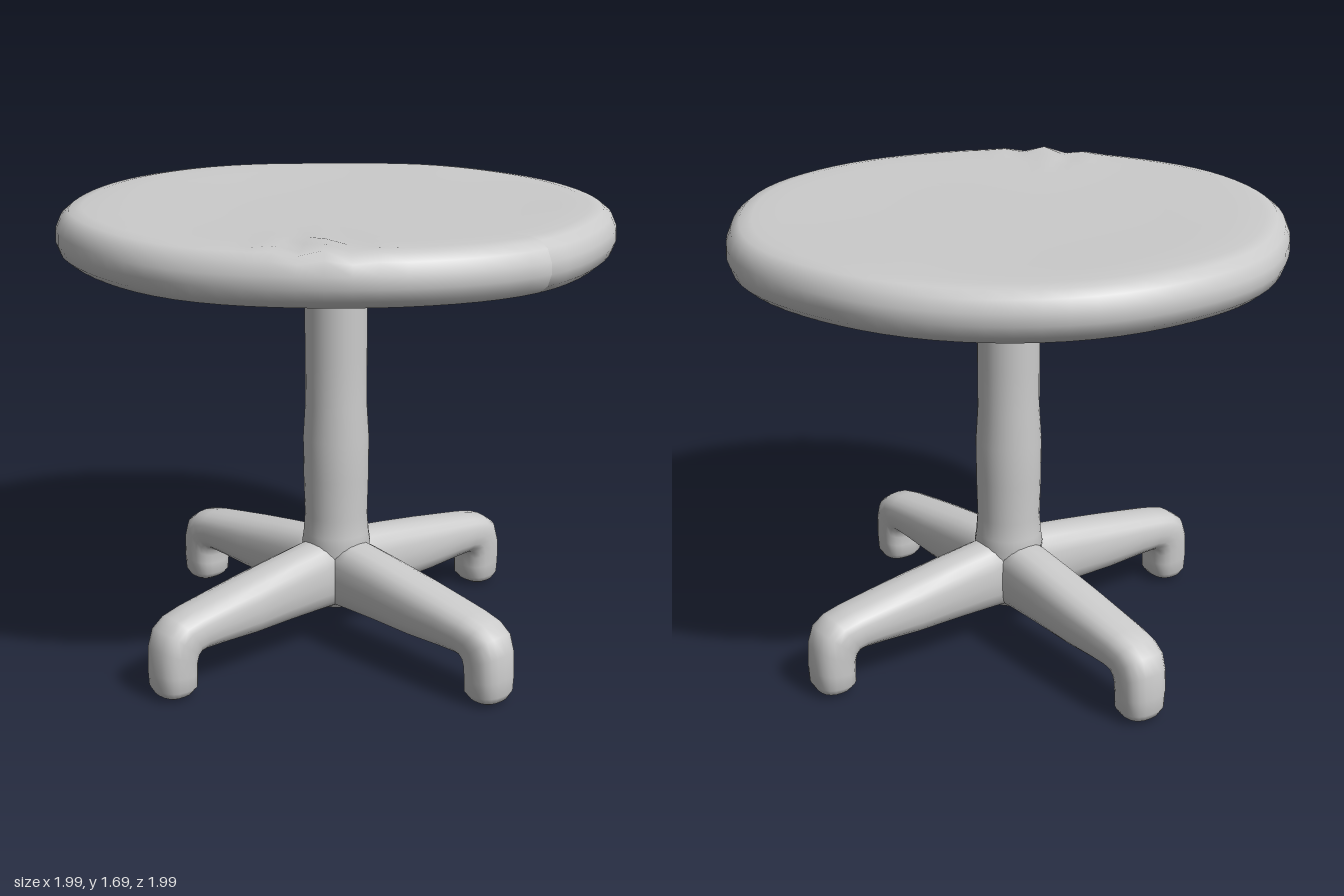
import * as THREE from 'three';

const material = new THREE.MeshStandardMaterial({ color: 0xcccccc, side: THREE.DoubleSide });

function part(name, geometry) {
  const mesh = new THREE.Mesh(geometry, material);
  mesh.name = name;
  return mesh;
}

// Skin rounded cross-sections: [topX, topY, bottomX, bottomY, halfWidth]
function loft(sections, sides = 20, power = 0.8) {
  const pos = [], index = [];
  const soft = v => Math.sign(v) * Math.abs(v) ** power;
  for (const [tx, ty, bx, by, w] of sections) {
    for (let j = 0; j < sides; j++) {
      const a = (j / sides) * Math.PI * 2;
      const c = soft(Math.cos(a)) / 2, s = soft(Math.sin(a));
      pos.push((tx + bx) / 2 + (tx - bx) * c, (ty + by) / 2 + (ty - by) * c, w * s);
    }
  }
  const last = sections.length - 1;
  for (let i = 0; i < last; i++) {
    for (let j = 0; j < sides; j++) {
      const k = (j + 1) % sides;
      const a = i * sides + j, b = i * sides + k;
      index.push(a, b, a + sides, b, b + sides, a + sides);
    }
  }
  // End caps
  for (const i of [0, last]) {
    const [tx, ty, bx, by] = sections[i];
    const centre = pos.length / 3;
    pos.push((tx + bx) / 2, (ty + by) / 2, 0);
    for (let j = 0; j < sides; j++) {
      const a = i * sides + j, b = i * sides + (j + 1) % sides;
      index.push(centre, ...(i ? [a, b] : [b, a]));
    }
  }
  const geometry = new THREE.BufferGeometry();
  geometry.setAttribute('position', new THREE.Float32BufferAttribute(pos, 3));
  geometry.setIndex(index);
  geometry.computeVertexNormals();
  return geometry;
}

function lathe(points, segments) {
  return new THREE.LatheGeometry(points.map(p => new THREE.Vector2(...p)), segments);
}

// Thick round top with a soft rim, hand-worn outline and gentle surface waves
function tabletop() {
  const geometry = lathe([
    [0, 1.475], [0.25, 1.477], [0.5, 1.482], [0.75, 1.487], [0.9, 1.49], [0.95, 1.5], [0.98, 1.525],
    [0.995, 1.565], [0.993, 1.605], [0.975, 1.645], [0.945, 1.668], [0.9, 1.675],
    [0.8, 1.675], [0.7, 1.673], [0.55, 1.67], [0.4, 1.668], [0.2, 1.668], [0, 1.668],
  ], 72);
  const p = geometry.attributes.position;
  for (let i = 0; i < p.count; i++) {
    const x = p.getX(i), y = p.getY(i), z = p.getZ(i);
    const angle = Math.atan2(z, x), r = Math.hypot(x, z);
    const k = 1 - 0.006 * r * (1 - Math.cos(4 * angle)) + 0.003 * r * Math.sin(9 * angle);
    let dy = 0.004 * r * Math.sin(5 * x + 2 * z) * Math.cos(4 * z - x);
    // Worn patch near the front right rim
    const patch = Math.exp(-((x + 0.63) ** 2 + (z - 0.62) ** 2) / 0.02);
    if (y > 1.62) dy += 0.016 * patch * Math.sin(31 * x + 23 * z);
    p.setXYZ(i, x * k, y + dy, z * k);
  }
  geometry.computeVertexNormals();
  return geometry;
}

// Arm that slopes outward and turns down into a rounded foot
const legSections = [
  [0, 0.41, 0, 0.14, 0.1], [0.13, 0.405, 0.13, 0.145, 0.1], [0.28, 0.385, 0.28, 0.15, 0.1],
  [0.45, 0.36, 0.45, 0.152, 0.1], [0.6, 0.336, 0.6, 0.16, 0.095], [0.71, 0.318, 0.67, 0.162, 0.092],
  [0.785, 0.3, 0.69, 0.158, 0.09], [0.835, 0.265, 0.7, 0.147, 0.09], [0.858, 0.2, 0.705, 0.125, 0.088],
  [0.863, 0.11, 0.705, 0.09, 0.086], [0.86, 0.05, 0.705, 0.045, 0.083],
  [0.845, 0.023, 0.725, 0.022, 0.066], [0.82, 0.008, 0.75, 0.008, 0.04],
];

export function createModel() {
  const group = new THREE.Group();
  group.name = 'pedestalTable';
  group.add(part('tabletop', tabletop()));

  // Column, flared into the hub below and the tabletop above
  group.add(part('column', lathe([
    [0, 0.13], [0.07, 0.14], [0.1, 0.18], [0.118, 0.3], [0.128, 0.39], [0.122, 0.43], [0.117, 0.5],
    [0.121, 0.65], [0.122, 0.8], [0.114, 0.93], [0.114, 1.1], [0.114, 1.3],
    [0.114, 1.41], [0.122, 1.45], [0.14, 1.49],
  ], 28)));

  // Tapered support bar under the top, running left to right
  group.add(part('supportBar', loft([
    [-0.37, 1.5, -0.37, 1.475, 0.03], [-0.3, 1.5, -0.3, 1.455, 0.055], [-0.18, 1.5, -0.18, 1.43, 0.075],
    [-0.1, 1.5, -0.1, 1.39, 0.08], [0.1, 1.5, 0.1, 1.39, 0.08], [0.18, 1.5, 0.18, 1.43, 0.075],
    [0.3, 1.5, 0.3, 1.455, 0.055], [0.37, 1.5, 0.37, 1.475, 0.03],
  ])));

  // Four legs in a cross
  ['leftLeg', 'backLeg', 'rightLeg', 'frontLeg'].forEach((name, i) => {
    const leg = part(name, loft(legSections));
    leg.rotation.y = (i * Math.PI) / 2;
    group.add(leg);
  });
  return group;
}
